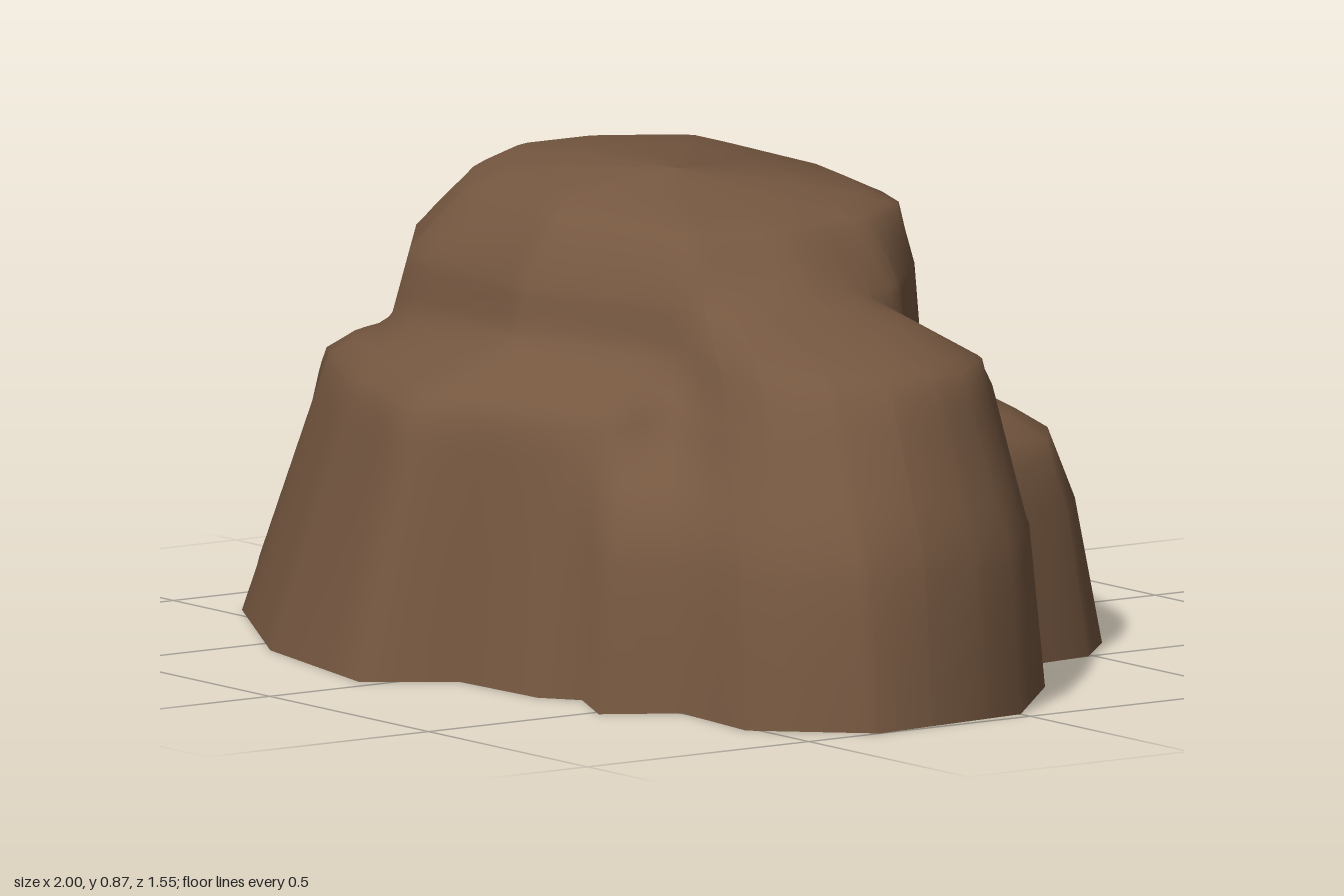
import * as THREE from 'three';

// Common centre that every horizontal slice is measured from
const CX = -0.12, CZ = 0;

// Each lump: corners [baseX, baseZ, topX, topZ] and
// profile steps [height, blend from base to top, scale about the centre]
const mainMass = {
  corners: [
    [-1, -0.29, -0.73, -0.22], [-0.79, -0.61, -0.61, -0.4], [-0.55, -0.6, -0.48, -0.4],
    [-0.27, -0.43, -0.25, -0.39], [0, -0.42, 0, -0.38], [0.18, -0.37, 0.13, -0.33],
    [0.41, -0.2, 0.24, -0.18], [0.49, 0.05, 0.27, 0.03], [0.38, 0.3, 0.2, 0.2],
    [-0.05, 0.47, -0.08, 0.31], [-0.55, 0.44, -0.46, 0.23], [-0.86, 0.2, -0.65, 0.08],
    [-0.97, 0.05, -0.73, -0.02],
  ],
  profile: [[0, 0, 1], [0.5, 0.31, 1], [0.7, 0.55, 1], [0.81, 1, 1], [0.85, 1, 0.83], [0.866, 1, 0.5], [0.873, 1, 0]],
};
const backLedge = {
  corners: [
    [0.53, -0.27, 0.46, -0.24], [0.5, -0.49, 0.42, -0.43], [0.39, -0.6, 0.32, -0.5],
    [0.14, -0.7, 0.1, -0.58], [-0.1, -0.78, -0.1, -0.63], [-0.28, -0.75, -0.26, -0.61],
    [-0.55, -0.6, -0.5, -0.52], [-0.3, -0.1, -0.3, -0.1], [0.5, -0.1, 0.46, -0.1],
  ],
  profile: [[0, 0, 1], [0.27, 0.4, 1], [0.4, 0.8, 1], [0.44, 1.1, 0.94], [0.51, 1.1, 0.65]],
};
const frontApron = {
  corners: [
    [-0.84, 0.46, -0.73, 0.32], [-0.43, 0.69, -0.4, 0.51], [-0.04, 0.77, -0.07, 0.62],
    [0.07, 0.62, 0.08, 0.55], [0.3, 0.61, 0.23, 0.47], [0.37, 0.56, 0.32, 0.43],
    [0.4, 0.1, 0.35, 0.1], [-0.2, 0.05, -0.2, 0.05], [-0.86, 0.17, -0.76, 0.12],
  ],
  profile: [[0, 0, 1], [0.49, 0.87, 1], [0.525, 1.05, 0.97], [0.58, 1.05, 0.72]],
};
const frontFoot = {
  corners: [
    [0.37, 0.56, 0.32, 0.5], [0.52, 0.63, 0.46, 0.54], [0.6, 0.5, 0.52, 0.45],
    [0.5, 0.1, 0.5, 0.1], [0.2, 0.1, 0.2, 0.1],
  ],
  profile: [[0, 0, 1], [0.33, 0.5, 1], [0.42, 1.1, 0.97], [0.44, 1.1, 0.82]],
};
const sideBoulder = {
  corners: [
    [0.53, -0.27, 0.46, -0.17], [0.74, -0.22, 0.66, -0.14], [0.97, 0, 0.8, 0.02],
    [1, 0.34, 0.8, 0.2], [0.83, 0.52, 0.7, 0.35], [0.6, 0.5, 0.5, 0.34],
    [0.4, 0.45, 0.38, 0.28], [0.1, 0.1, 0.1, 0.1], [0.2, -0.15, 0.2, -0.1],
  ],
  profile: [[0, 0, 1], [0.3, 0.18, 1], [0.61, 1, 1], [0.66, 1, 0.77], [0.685, 1, 0.62]],
};
const lumps = [mainMass, backLedge, frontApron, frontFoot, sideBoulder];

// Horizontal outline of a lump at height y, relative to the centre
function sliceAt({ corners, profile }, y) {
  const k = profile.findIndex((p, i) => i > 0 && y <= p[0] + 1e-6);
  if (k < 0) return null;
  const [y0, t0, s0] = profile[k - 1], [y1, t1, s1] = profile[k];
  const f = (y - y0) / (y1 - y0);
  const t = t0 + (t1 - t0) * f, s = s0 + (s1 - s0) * f;
  return corners.map(([bx, bz, tx, tz]) => [
    (bx + (tx - bx) * t - CX) * s,
    (bz + (tz - bz) * t - CZ) * s,
  ]);
}

// Farthest distance at which a ray from the centre crosses an outline
function reach(outline, dx, dz) {
  let far = 0;
  outline.forEach(([ax, az], i) => {
    const [bx, bz] = outline[(i + 1) % outline.length];
    const ex = bx - ax, ez = bz - az;
    const det = dx * ez - dz * ex;
    if (Math.abs(det) < 1e-9) return;
    const r = (ax * ez - az * ex) / det;
    const u = (ax * dz - az * dx) / det;
    if (u >= -1e-6 && u <= 1 + 1e-6) far = Math.max(far, r);
  });
  return far;
}

// Even angles plus one through every base corner, so corners stay exact
function rayAngles(count) {
  const angles = new Set();
  for (let j = 0; j < count; j++) angles.add((j / count * Math.PI * 2 - Math.PI).toFixed(4));
  lumps.forEach((l) => l.corners.forEach(([x, z]) => angles.add(Math.atan2(z - CZ, x - CX).toFixed(4))));
  return [...angles].map(Number).sort((a, b) => a - b);
}

// Soften the shading by averaging each normal with its grid neighbours
function softenNormals(geometry, sides, rows, passes) {
  const normal = geometry.attributes.normal;
  const sum = new THREE.Vector3(), v = new THREE.Vector3();
  for (let p = 0; p < passes; p++) {
    const source = normal.clone();
    for (let k = 0; k < sides * rows; k++) {
      const i = Math.floor(k / sides), j = k % sides;
      const near = [k, i * sides + (j + 1) % sides, i * sides + (j + sides - 1) % sides];
      if (i > 0) near.push(k - sides);
      if (i < rows - 1) near.push(k + sides);
      sum.set(0, 0, 0);
      near.forEach((n) => sum.add(v.fromBufferAttribute(source, n)));
      sum.normalize();
      normal.setXYZ(k, sum.x, sum.y, sum.z);
    }
  }
}

// One open-bottomed shell lofted over the merged outlines of all lumps
function rockShell() {
  const angles = rayAngles(100), sides = angles.length;
  const heights = new Set([0.1, 0.2]);
  lumps.forEach((l) => l.profile.forEach((p) => heights.add(p[0])));
  for (let y = 0.36; y < 0.84; y += 0.02) heights.add(+y.toFixed(3));
  const levels = [...heights].sort((a, b) => a - b);

  const positions = [], index = [];
  levels.forEach((y, i) => {
    const outlines = lumps.map((l) => sliceAt(l, y)).filter(Boolean);
    angles.forEach((a, j) => {
      const dx = Math.cos(a), dz = Math.sin(a);
      const r = Math.max(...outlines.map((o) => reach(o, dx, dz)));
      const x = CX + dx * r;
      // the summit dips towards +x
      const dip = Math.max(0, y - 0.81) * 0.7 * THREE.MathUtils.clamp((x + 0.12) / 0.3, 0, 1);
      positions.push(x, y - dip, CZ + dz * r);
      if (i === 0) return;
      const n = (j + 1) % sides, lo = (i - 1) * sides, hi = i * sides;
      index.push(lo + j, hi + j, lo + n, lo + n, hi + j, hi + n);
    });
  });
  const geometry = new THREE.BufferGeometry();
  geometry.setAttribute('position', new THREE.Float32BufferAttribute(positions, 3));
  geometry.setIndex(index);
  geometry.computeVertexNormals();
  softenNormals(geometry, sides, levels.length, 10);
  return geometry;
}

export function createModel() {
  const stone = new THREE.MeshStandardMaterial({ color: 0x755740, side: THREE.DoubleSide });
  stone.name = 'brown stone';

  const rock = new THREE.Mesh(rockShell(), stone);
  rock.name = 'rock';

  const group = new THREE.Group();
  group.name = 'boulder outcrop';
  group.add(rock);
  return group;
}
